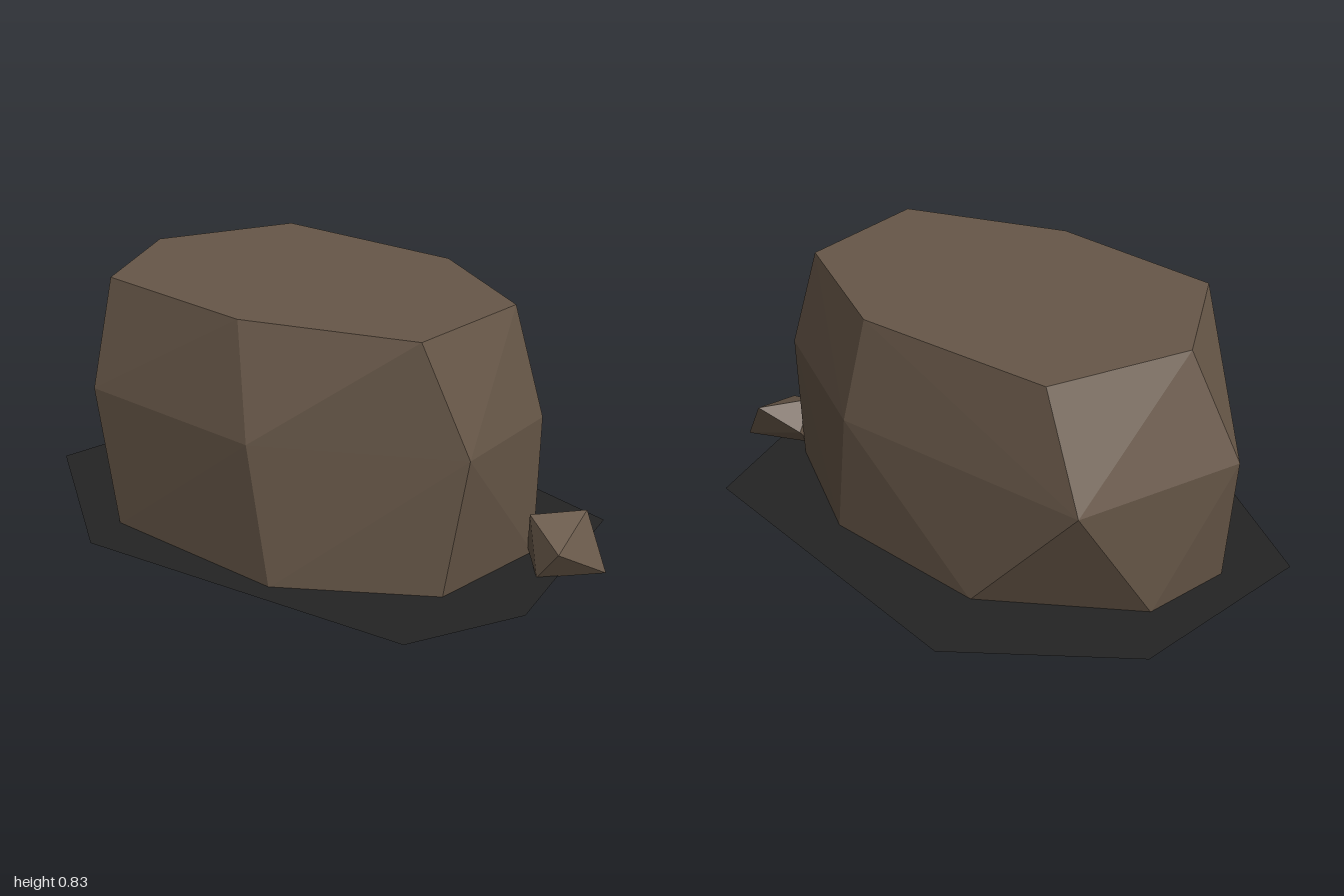
import * as THREE from 'three';
import { ConvexGeometry } from 'three/addons/geometries/ConvexGeometry.js';

// Faceted stone: the hull of its corner points
function stone(name, points, material) {
  const mesh = new THREE.Mesh(new ConvexGeometry(points), material);
  mesh.name = name;
  return mesh;
}

const ring = (y, corners) => corners.map(([x, z]) => new THREE.Vector3(x, y, z));

export function createModel() {
  const rockBrown = new THREE.MeshStandardMaterial({ color: 0x675748 });
  rockBrown.name = 'rock brown';
  const darkGround = new THREE.MeshStandardMaterial({ color: 0x242424 });
  darkGround.name = 'dark ground';
  darkGround.side = THREE.DoubleSide;

  const group = new THREE.Group();
  group.name = 'rock';

  // Boulder: base, widest ring and flat top
  group.add(stone('boulder', [
    ...ring(0, [[0.73, 0.25], [0.74, -0.2], [0.3, -0.46], [-0.32, -0.485],
      [-0.8, -0.16], [-0.85, 0.16], [-0.41, 0.58], [0.29, 0.57]]),
    ...ring(0.47, [[-0.73, -0.46], [0.21, -0.5], [0.74, -0.22], [0.8, 0.22],
      [0.22, 0.59], [-0.5, 0.59], [-0.91, 0.12]]),
    ...ring(0.83, [[-0.55, -0.4], [0.16, -0.44], [0.64, -0.19], [0.66, 0.29],
      [0.11, 0.51], [-0.51, 0.49], [-0.74, 0.07]]),
  ], rockBrown));

  // Small pebble leaning on the boulder's side
  group.add(stone('pebble', [
    [1, 0, -0.24], [0.86, 0, -0.06], [0.74, 0.03, -0.17], [0.73, 0.1, -0.23],
    [0.94, 0.105, -0.06], [0.78, 0.175, -0.12], [0.885, 0.17, -0.285],
  ].map((p) => new THREE.Vector3(...p)), rockBrown));

  // Flat ground patch, shape y becomes -z
  const outline = [[-0.42, -0.76], [0.77, -0.56], [0.99, 0.17], [0.84, 0.56],
    [-0.36, 0.75], [-1, 0.34], [-0.94, -0.36]];
  const shape = new THREE.Shape(outline.map(([x, z]) => new THREE.Vector2(x, -z)));
  const patch = new THREE.Mesh(new THREE.ShapeGeometry(shape).rotateX(-Math.PI / 2), darkGround);
  patch.name = 'groundPatch';
  patch.position.y = 0.004;
  group.add(patch);

  return group;
}
